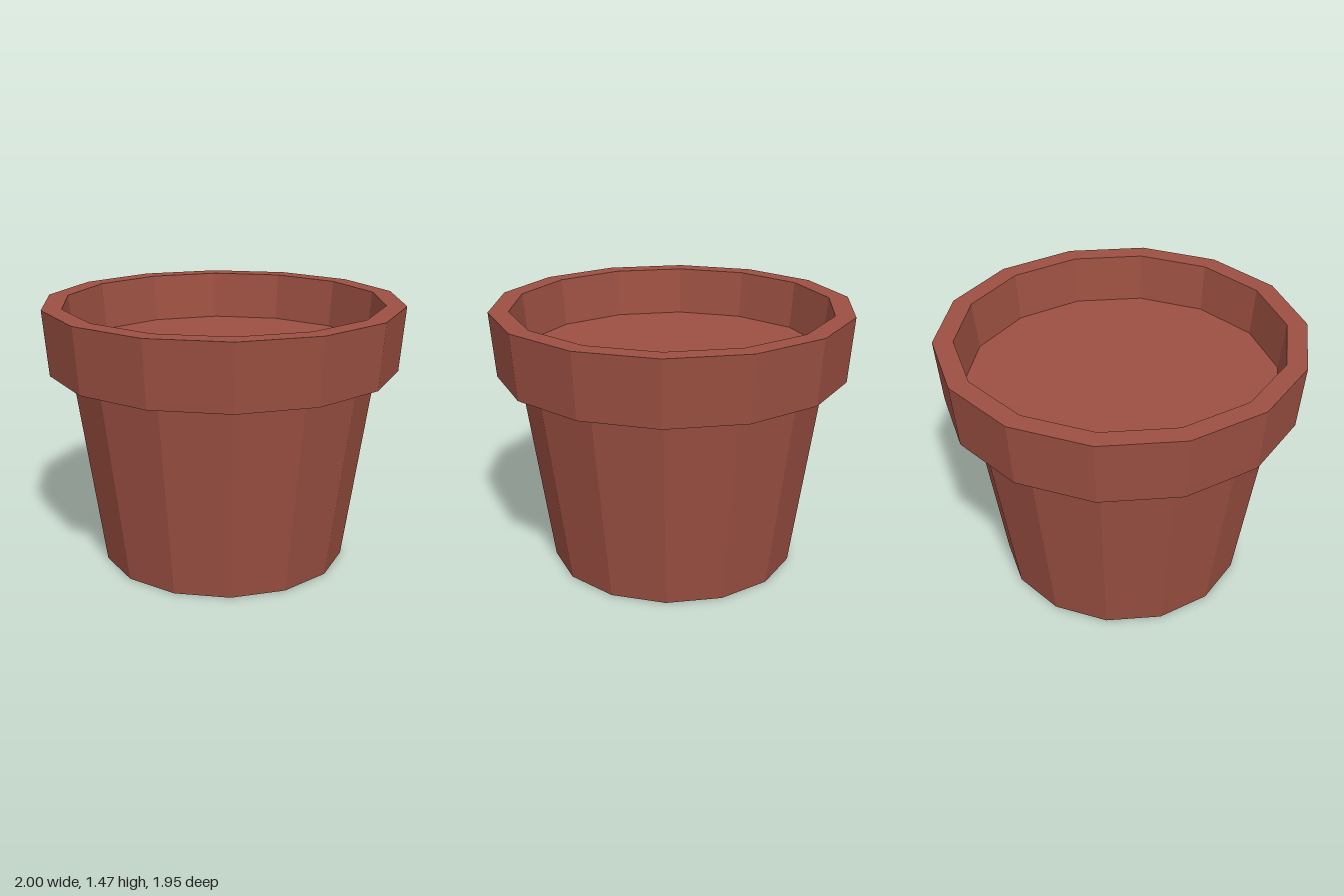
import * as THREE from 'three';

const SIDES = 14;

export function createModel() {
  const group = new THREE.Group();
  group.name = 'flowerPot';
  const terracotta = new THREE.MeshStandardMaterial({ color: 0x9c5042, flatShading: true });
  terracotta.name = 'terracotta';

  // Revolve a profile of [radius, height] points, with a corner on the x axis
  const addRing = (name, profile) => {
    const points = profile.map(([r, y]) => new THREE.Vector2(r, y));
    const mesh = new THREE.Mesh(new THREE.LatheGeometry(points, SIDES, Math.PI / 2), terracotta);
    mesh.name = name;
    group.add(mesh);
  };

  // Tapered body with closed base
  addRing('body', [[0, 0], [0.69, 0], [0.845, 1.08]]);
  // Overhanging rim: sloped underside, outer wall, top edge, inner wall
  addRing('rim', [[0.845, 1.08], [0.97, 1.105], [1, 1.465], [0.89, 1.465], [0.862, 1.195]]);
  // Flat fill inside the rim
  addRing('soil', [[0.862, 1.195], [0, 1.195]]);

  return group;
}
